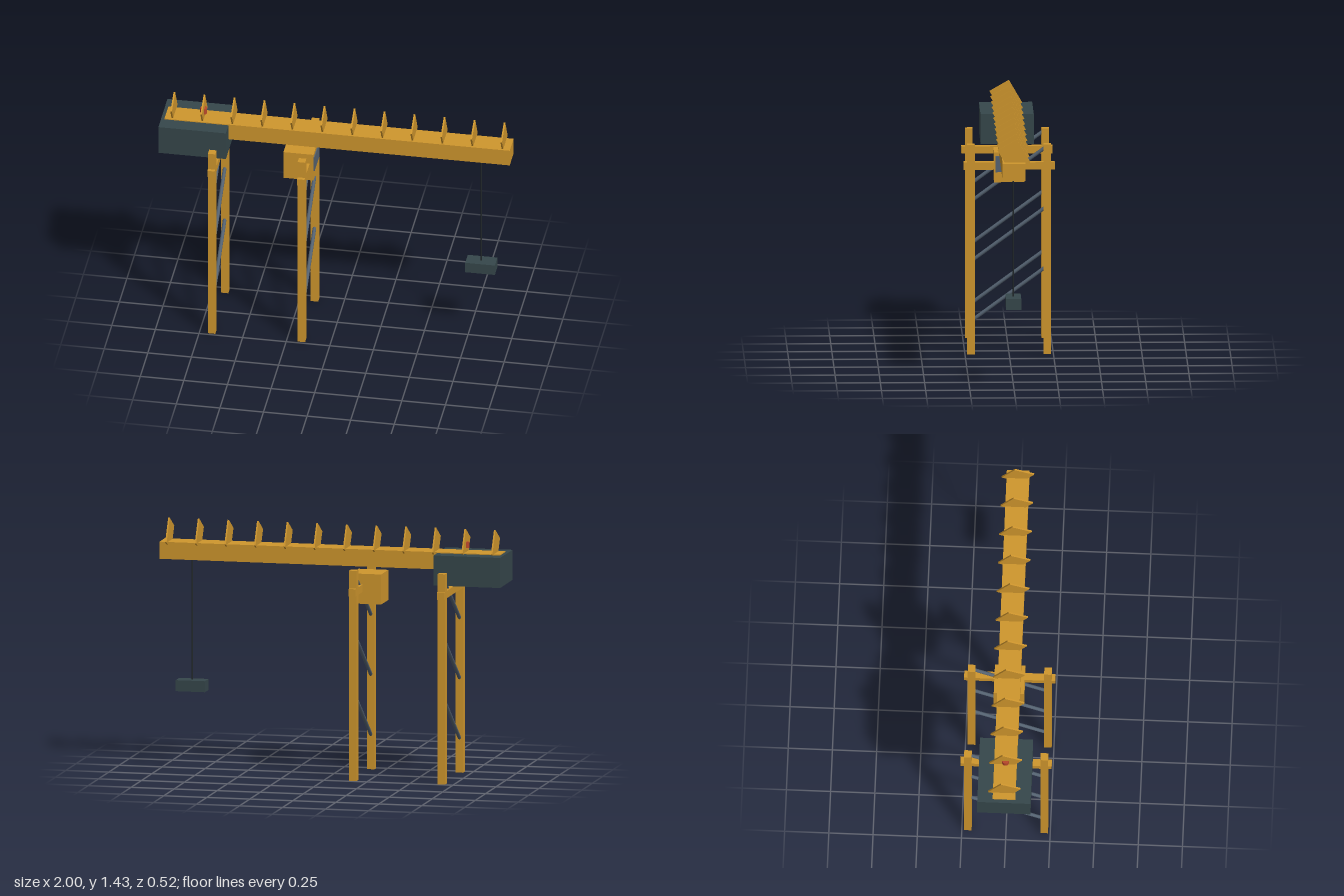
import * as THREE from 'three';

const material = (name, color) => {
  const m = new THREE.MeshStandardMaterial({ color });
  m.name = name;
  return m;
};

export function createModel() {
  const crane = new THREE.Group();
  crane.name = 'gantryCrane';

  const yellow = material('craneYellow', 0xcf962d);
  const slate = material('darkSlate', 0x36474b);
  const steel = material('blueGreySteel', 0x556372);
  const dark = material('cableBlack', 0x22282a);
  const red = material('beaconRed', 0xb8472a);

  const add = (name, geometry, mat, x, y, z, parent = crane) => {
    const mesh = new THREE.Mesh(geometry, mat);
    mesh.name = name;
    mesh.position.set(x, y, z);
    parent.add(mesh);
    return mesh;
  };
  const box = (name, w, h, d, mat, x, y, z, parent) =>
    add(name, new THREE.BoxGeometry(w, h, d), mat, x, y, z, parent);

  // Two leg frames: a pair of posts, a cross beam and three diagonal braces
  const rise = 0.315, span = 0.43;
  for (const [name, x] of [['rearFrame', -0.68], ['frontFrame', -0.165]]) {
    const frame = new THREE.Group();
    frame.name = name;
    frame.position.x = x;
    crane.add(frame);
    for (const side of [-1, 1]) box('leg', 0.043, 1.203, 0.043, yellow, 0, 0.6015, side * 0.216, frame);
    box('crossBeam', 0.042, 0.042, 0.516, yellow, 0, 1.08, 0, frame);
    for (let i = 0; i < 3; i++) {
      const brace = add('brace', new THREE.CylinderGeometry(0.0105, 0.0105, Math.hypot(rise, span), 8),
        steel, 0, 0.345 + i * 0.344, 0, frame);
      brace.rotation.x = -Math.atan2(span, rise);
    }
  }

  // Main jib and counterweight
  box('jib', 1.98, 0.098, 0.129, yellow, 0.01, 1.25, 0);
  box('counterweight', 0.387, 0.172, 0.301, slate, -0.8065, 1.208, 0);

  // Row of tilted plates along the jib
  for (let i = 0; i < 12; i++) {
    const plate = box('jibPlate', 0.009, 0.15, 0.127, yellow, -0.937 + i * 0.1721, 1.335, 0);
    plate.rotation.x = Math.PI / 6;
  }

  // Warning beacon
  add('beacon', new THREE.CylinderGeometry(0.02, 0.02, 0.034, 12), red, -0.766, 1.338, 0);

  // Operator cab with a window plate on its jib side
  box('cab', 0.172, 0.172, 0.172, yellow, -0.208, 1.077, 0);
  box('cabWindow', 0.009, 0.091, 0.156, steel, -0.121, 1.095, 0);

  // Hoist cable and hanging load block
  add('hoistCable', new THREE.CylinderGeometry(0.0042, 0.0042, 0.72, 8), dark, 0.826, 0.86, 0);
  box('hookBlock', 0.17, 0.063, 0.086, slate, 0.826, 0.475, 0);

  return crane;
}
